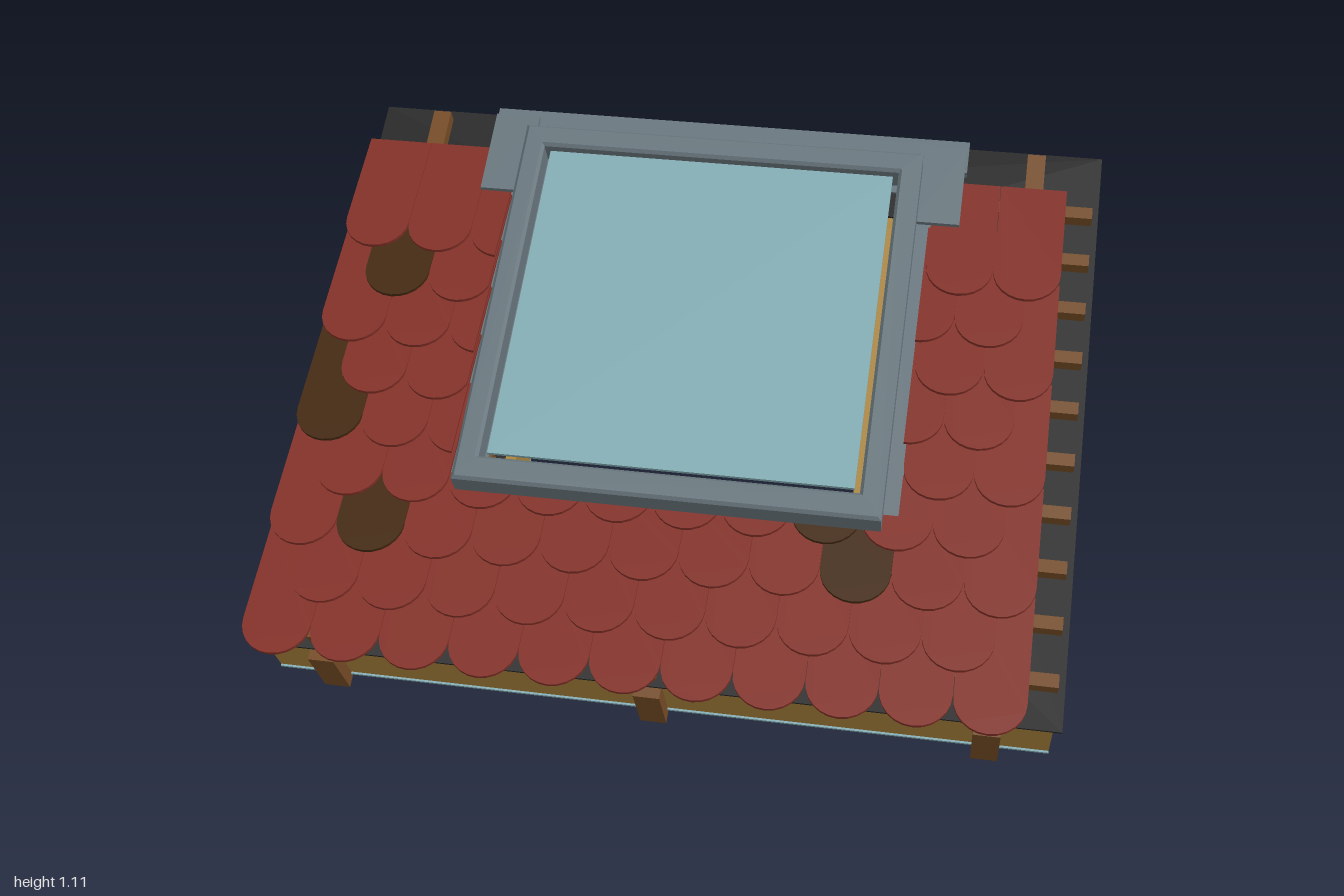
import * as THREE from 'three';

const material = (name, color, side = THREE.FrontSide) => {
  const m = new THREE.MeshStandardMaterial({ color, side });
  m.name = name;
  return m;
};

export function createModel() {
  const clay = material('red clay', 0x812f26);
  const darkClay = material('dark brown clay', 0x42280f);
  const metal = material('grey metal', 0x67757c);
  const paleBlue = material('pale blue', 0x82abb2);
  const ochre = material('ochre insulation', 0xa8823a);
  const wood = material('brown wood', 0x734a24);
  const black = material('black membrane', 0x242424);

  // Everything is built flat (y is the roof normal, z runs down the slope), then pitched
  const roof = new THREE.Group();
  roof.name = 'roofSection';
  roof.rotation.x = Math.PI / 6;

  const add = (name, geometry, mat) => {
    const mesh = new THREE.Mesh(geometry, mat);
    mesh.name = name;
    roof.add(mesh);
    return mesh;
  };

  // Box given by its limits across (x), through (n) and down (w) the slope
  const block = (name, mat, [x0, x1], [n0, n1], [w0, w1]) => {
    const mesh = add(name, new THREE.BoxGeometry(x1 - x0, n1 - n0, w1 - w0), mat);
    mesh.position.set((x0 + x1) / 2, (n0 + n1) / 2, (w0 + w1) / 2);
    return mesh;
  };

  const rectangle = (target, x, w0, w1) => {
    target.moveTo(-x, -w1);
    target.lineTo(x, -w1);
    target.lineTo(x, -w0);
    target.lineTo(-x, -w0);
    target.closePath();
    return target;
  };

  // Slab with a rectangular opening; outer and hole are [half width, w0, w1]
  const slab = (name, mat, outer, hole, n0, n1, bevel = 0) => {
    const shape = rectangle(new THREE.Shape(), ...outer);
    shape.holes.push(rectangle(new THREE.Path(), ...hole));
    const geometry = new THREE.ExtrudeGeometry(shape, {
      depth: n1 - n0 - 2 * bevel, bevelEnabled: bevel > 0, bevelSize: bevel,
      bevelThickness: bevel, bevelOffset: -bevel, bevelSegments: 1,
    });
    geometry.rotateX(-Math.PI / 2);
    geometry.translate(0, n0 + bevel, 0);
    return add(name, geometry, mat);
  };

  // Layers under the tiles
  const opening = [0.44, -0.87, 0.03];
  slab('vapourBarrier', paleBlue, [0.98, -1.1, 0.49], opening, 0.311, 0.319);
  slab('insulation', ochre, [0.98, -1.095, 0.485], opening, 0.319, 0.476);
  slab('underlay', black, [1, -1.125, 0.5], [0.46, -0.89, 0.04], 0.505, 0.512);

  // Rafters and counter battens, the middle ones cut at the window
  const beamX = [-0.825, 0, 0.825];
  for (const x of beamX) {
    const rafters = x ? [[-1.137, 0.52]] : [[-1.137, -0.87], [0.03, 0.52]];
    const counters = x ? [[-1.09, 0.488]] : [[-1.09, -0.89], [0.05, 0.488]];
    for (const run of rafters) block('rafter', wood, [x - 0.033, x + 0.033], [0.3, 0.484], run);
    for (const run of counters) block('counterBatten', wood, [x - 0.024, x + 0.024], [0.523, 0.561], run);
  }

  // Horizontal battens and their nails
  const step = 0.1442;
  for (let i = 0; i < 10; i++) {
    const w = 0.405 - i * step;
    const runs = w > 0.06 ? [[-0.98, 0.98]] : [[-0.98, -0.47], [0.47, 0.98]];
    for (const run of runs) block('batten', wood, run, [0.565, 0.6], [w - 0.017, w + 0.017]);
    for (const x of beamX) {
      if (x === 0 && w < 0.06) continue;
      const nail = add('nail', new THREE.CylinderGeometry(0.007, 0.007, 0.022, 8), metal);
      nail.position.set(x, 0.611, w);
    }
  }

  // Round-ended tile, cut to local x limits a..b and to a length
  const tileLength = 0.362, radius = 0.0855;
  const tileGeometry = (a, b, length) => {
    const shape = new THREE.Shape();
    const from = Math.acos(b / radius), to = Math.acos(a / radius);
    shape.moveTo(a, length);
    for (let i = 12; i >= 0; i--) {
      const angle = from + (to - from) * i / 12;
      shape.lineTo(radius * Math.cos(angle), radius - radius * Math.sin(angle));
    }
    shape.lineTo(b, length);
    shape.closePath();
    const geometry = new THREE.ExtrudeGeometry(shape, { depth: 0.009, bevelEnabled: false });
    return geometry.rotateX(-Math.PI / 2);
  };

  // Overlapping tile rows, with a few dark tiles (row:column)
  const darkTiles = new Set(['7:0', '4:0', '2:1', '2:8', '3:7']);
  for (let row = 0; row < 9; row++) {
    const odd = row % 2;
    const tip = 0.576 - row * step;
    for (let col = 0; col < 11 - odd; col++) {
      const x = -0.898 + odd * 0.086 + col * 0.1722;
      let a = -radius, b = radius, length = tileLength;
      if (row > 3) {
        // Cut beside the window
        if (x < 0) b = Math.min(b, -0.56 - x);
        else a = Math.max(a, 0.56 - x);
        if (b - a < 0.03) continue;
      } else if (Math.abs(x) < 0.57) {
        // Cut below the window
        length = Math.min(length, tip - 0.05);
      }
      const mat = darkTiles.has(`${row}:${col}`) ? darkClay : clay;
      const tile = add('roofTile', tileGeometry(a, b, length), mat);
      tile.position.set(x, 0.657, tip);
      tile.rotation.x = -0.108;
    }
  }

  // Flashing around the window
  slab('flashing', metal, [0.6, -0.96, 0.2], [0.475, -0.9, 0.045], 0.612, 0.618);
  block('topFlashing', metal, [-0.645, 0.645], [0.604, 0.626], [-1.07, -0.972]);
  for (const s of [-1, 1]) {
    block('flashingWing', metal, [s * 0.58 - 0.06, s * 0.58 + 0.06], [0.645, 0.657], [-1.03, -0.79]);
  }

  // Window frame and pane
  slab('windowFrame', metal, [0.53, -0.955, 0.098], [0.472, -0.892, 0.03], 0.655, 0.732, 0.008);
  block('windowPane', paleBlue, [-0.457, 0.457], [0.7, 0.71], [-0.888, 0.012]);

  const model = new THREE.Group();
  model.name = 'roofWindowModel';
  model.add(roof);
  return model;
}
